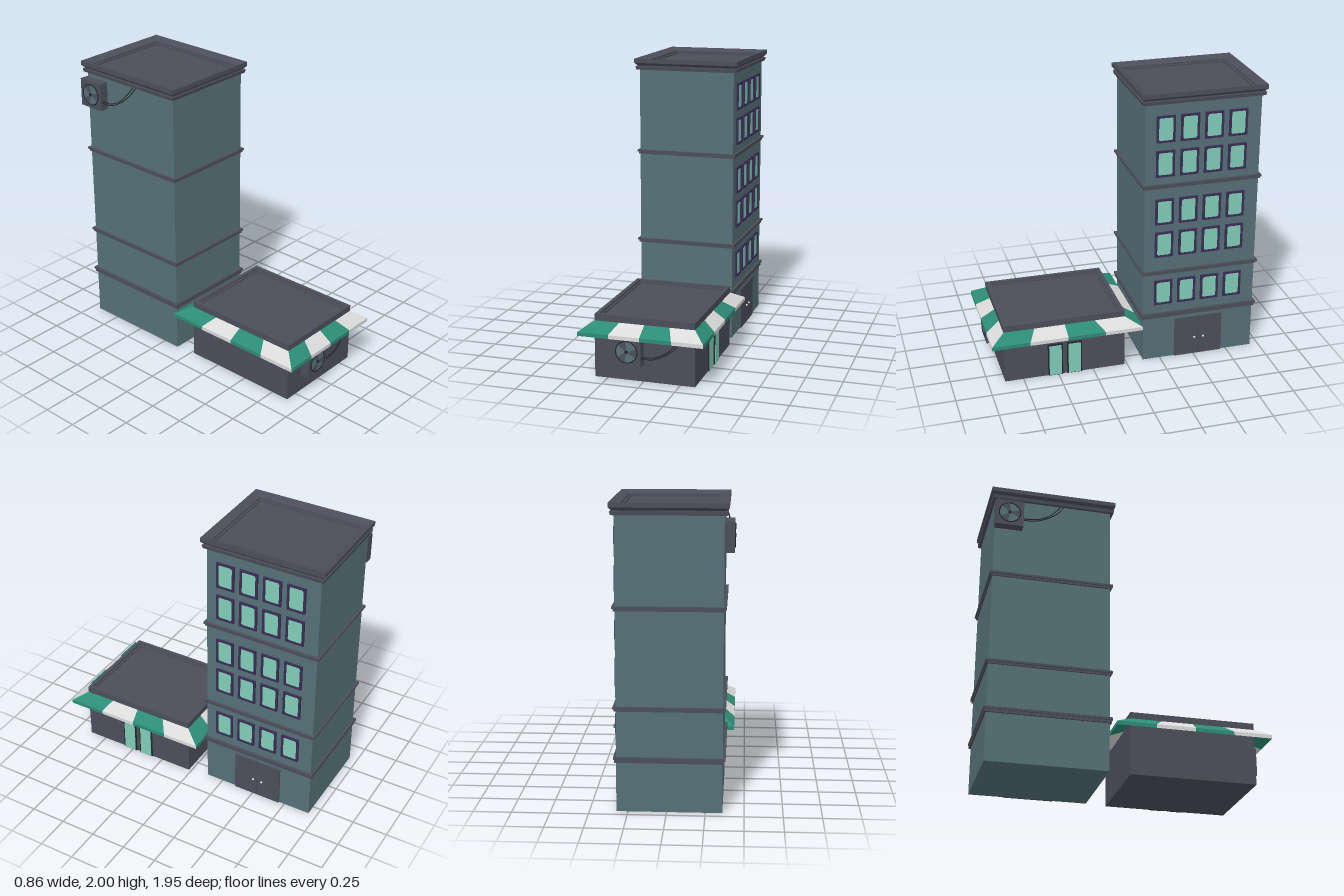
import * as THREE from 'three';

const mat = (name, color, side = THREE.FrontSide) => {
  const m = new THREE.MeshStandardMaterial({ color, side });
  m.name = name;
  return m;
};

export function createModel() {
  const wall = mat('teal wall', 0x557077);
  const dark = mat('dark grey', 0x4b4e5a);
  const glass = mat('mint glass', 0x80cdb7);
  const purple = mat('purple frame', 0x3b2d55);
  const green = mat('awning green', 0x2c8c75, THREE.DoubleSide);
  const white = mat('awning white', 0xdadada, THREE.DoubleSide);
  const black = mat('cable black', 0x24262e);

  const model = new THREE.Group();
  const add = (parent, name, geo, material, x = 0, y = 0, z = 0) => {
    const m = new THREE.Mesh(geo, material);
    m.name = name;
    m.position.set(x, y, z);
    parent.add(m);
    return m;
  };
  const group = (name, parent = model) => {
    const g = new THREE.Group();
    g.name = name;
    parent.add(g);
    return g;
  };
  const box = (w, h, d) => new THREE.BoxGeometry(w, h, d);
  const quad = (out, a, b, c, d) => out.push(...a, ...b, ...c, ...a, ...c, ...d);
  const fromTriangles = (pos) => {
    const g = new THREE.BufferGeometry();
    g.setAttribute('position', new THREE.Float32BufferAttribute(pos, 3));
    g.computeVertexNormals();
    return g;
  };

  // Rectangle corners in plan, running round from front left of the picture plane
  const corners = ([x0, x1, z0, z1], o, y) =>
    [[x0 - o, y, z1 + o], [x1 + o, y, z1 + o], [x1 + o, y, z0 - o], [x0 - o, y, z0 - o]];

  // Sweeps an [offset, y] profile around a rectangle, with mitred corners and end caps
  const moulding = (rect, profile) => {
    const rings = profile.map(([o, y]) => corners(rect, o, y));
    const pos = [];
    for (let k = 0; k < rings.length - 1; k++) {
      for (let i = 0; i < 4; i++) {
        const j = (i + 1) % 4;
        quad(pos, rings[k][i], rings[k][j], rings[k + 1][j], rings[k + 1][i]);
      }
    }
    const [first, last] = [rings[0], rings.at(-1)];
    quad(pos, first[3], first[2], first[1], first[0]);
    quad(pos, last[0], last[1], last[2], last[3]);
    return fromTriangles(pos);
  };

  // Tower body, bands and roof
  const towerRect = [-0.36, 0.325, -0.94, -0.125];
  const tower = group('tower');
  add(tower, 'towerBody', moulding(towerRect, [[0, 0], [0, 1.94]]), wall);
  for (const y of [0.67, 1.32]) {
    add(tower, 'floorBand', moulding(towerRect,
      [[0.01, y], [0.01, y + 0.015], [0.018, y + 0.015], [0.018, y + 0.03]]), dark);
  }
  add(tower, 'groundBand', moulding(towerRect,
    [[0.012, 0.33], [0.012, 0.35], [0.018, 0.35], [0.018, 0.367]]), dark);
  add(tower, 'cornice', moulding(towerRect, [
    [0.02, 1.922], [0.024, 1.946], [0.012, 1.946], [0.012, 1.952], [0.031, 1.97], [0.031, 2],
    [-0.027, 1.978], [-0.027, 1.968], [-0.042, 1.968], [-0.042, 1.958]]), dark);

  // Windows: frames with chamfered openings
  const outline = (Type, w, h, c) => {
    const s = new Type();
    s.moveTo(-w + c, -h);
    [[w - c, -h], [w, -h + c], [w, h - c], [w - c, h], [-w + c, h], [-w, h - c], [-w, -h + c]]
      .forEach((p) => s.lineTo(...p));
    s.closePath();
    return s;
  };
  const frameShape = outline(THREE.Shape, 0.065, 0.094, 0);
  frameShape.holes.push(outline(THREE.Path, 0.05, 0.08, 0.009));
  const frameGeo = new THREE.ExtrudeGeometry(frameShape, { depth: 0.013, bevelEnabled: false });
  frameGeo.rotateY(Math.PI / 2);
  for (const y of [0.529, 0.9, 1.146, 1.498, 1.744]) {
    for (let i = 0; i < 4; i++) {
      const z = -0.266 - i * 0.17;
      add(tower, 'windowFrame', frameGeo, purple, 0.325, y, z);
      add(tower, 'windowGlass', box(0.008, 0.165, 0.105), glass, 0.327, y, z);
    }
  }

  // Tower double door
  for (const s of [-1, 1]) {
    add(tower, 'doorLeaf', box(0.02, 0.3, 0.175), dark, 0.325, 0.15, -0.533 + s * 0.0885);
    add(tower, 'doorKnob', new THREE.SphereGeometry(0.008, 10, 8), white, 0.341, 0.135, -0.538 + s * 0.033);
  }
  add(tower, 'doorGap', box(0.012, 0.3, 0.004), black, 0.325, 0.15, -0.533);

  // Shop body with a stepped roof recess
  const shopRect = [-0.34, 0.35, 0.02, 0.88];
  const shop = group('shop');
  add(shop, 'shopBody', moulding(shopRect, [[0, 0], [0, 0.433], [-0.028, 0.433], [-0.028, 0.42],
    [-0.042, 0.42], [-0.042, 0.41]]), dark);
  for (const z of [0.384, 0.521]) {
    add(shop, 'shopDoorFrame', box(0.016, 0.245, 0.106), black, 0.35, 0.1225, z);
    add(shop, 'shopDoorGlass', box(0.004, 0.23, 0.088), glass, 0.359, 0.119, z);
  }

  // Striped awning: four stripes on each side, with valance and underside
  const outerRect = [-0.425, 0.43, -0.09, 0.975];
  const rings = [[shopRect, 0.36], [outerRect, 0.303], [outerRect, 0.329], [shopRect, 0.388]]
    .map(([r, y]) => corners(r, 0, y));
  const lerp = (a, b, t) => a.map((v, i) => v + (b[i] - v) * t);
  const patterns = ['gwgw', 'gwgw', 'gwwg', 'gwgw'];
  const stripes = { g: [], w: [] };
  patterns.forEach((pattern, i) => {
    [...pattern].forEach((key, n) => {
      const at = (k, t) => lerp(rings[k][i], rings[k][(i + 1) % 4], t / 4);
      for (let k = 0; k < 3; k++) {
        quad(stripes[key], at(k, n), at(k, n + 1), at(k + 1, n + 1), at(k + 1, n));
      }
    });
  });
  add(shop, 'awningGreenStripes', fromTriangles(stripes.g), green);
  add(shop, 'awningWhiteStripes', fromTriangles(stripes.w), white);

  // Air conditioner, facing its own +z, with cables running to its right
  const airConditioner = (parent) => {
    const g = group('airConditioner', parent);
    add(g, 'unitCase', box(0.195, 0.195, 0.064), dark, 0, 0, 0.032);
    add(g, 'fanOpening', new THREE.CircleGeometry(0.073, 24), wall, 0, 0, 0.0655);
    add(g, 'fanRim', new THREE.TorusGeometry(0.074, 0.004, 6, 24), black, 0, 0, 0.066);
    for (let i = 0; i < 3; i++) {
      add(g, 'fanBlade', new THREE.CircleGeometry(0.07, 6, -0.5 + i * 2.094, 0.85), dark, 0, 0, 0.068);
    }
    add(g, 'fanHub', new THREE.CylinderGeometry(0.012, 0.012, 0.006, 12).rotateX(Math.PI / 2), black, 0, 0, 0.068);
    for (const [y, x] of [[-0.03, 0.37], [-0.042, 0.385]]) {
      const path = new THREE.CatmullRomCurve3([[0.09, y, 0.05], [0.18, y + 0.005, 0.052],
        [0.27, y + 0.045, 0.045], [x - 0.04, y + 0.11, 0.025], [x, y + 0.17, 0.004]]
        .map((p) => new THREE.Vector3(...p)));
      add(g, 'cable', new THREE.TubeGeometry(path, 20, 0.0035, 6), black);
    }
    return g;
  };
  airConditioner(shop).position.set(-0.097, 0.215, 0.88);
  const upper = airConditioner(tower);
  upper.position.set(-0.36, 1.79, -0.848);
  upper.rotation.y = -Math.PI / 2;

  return model;
}
